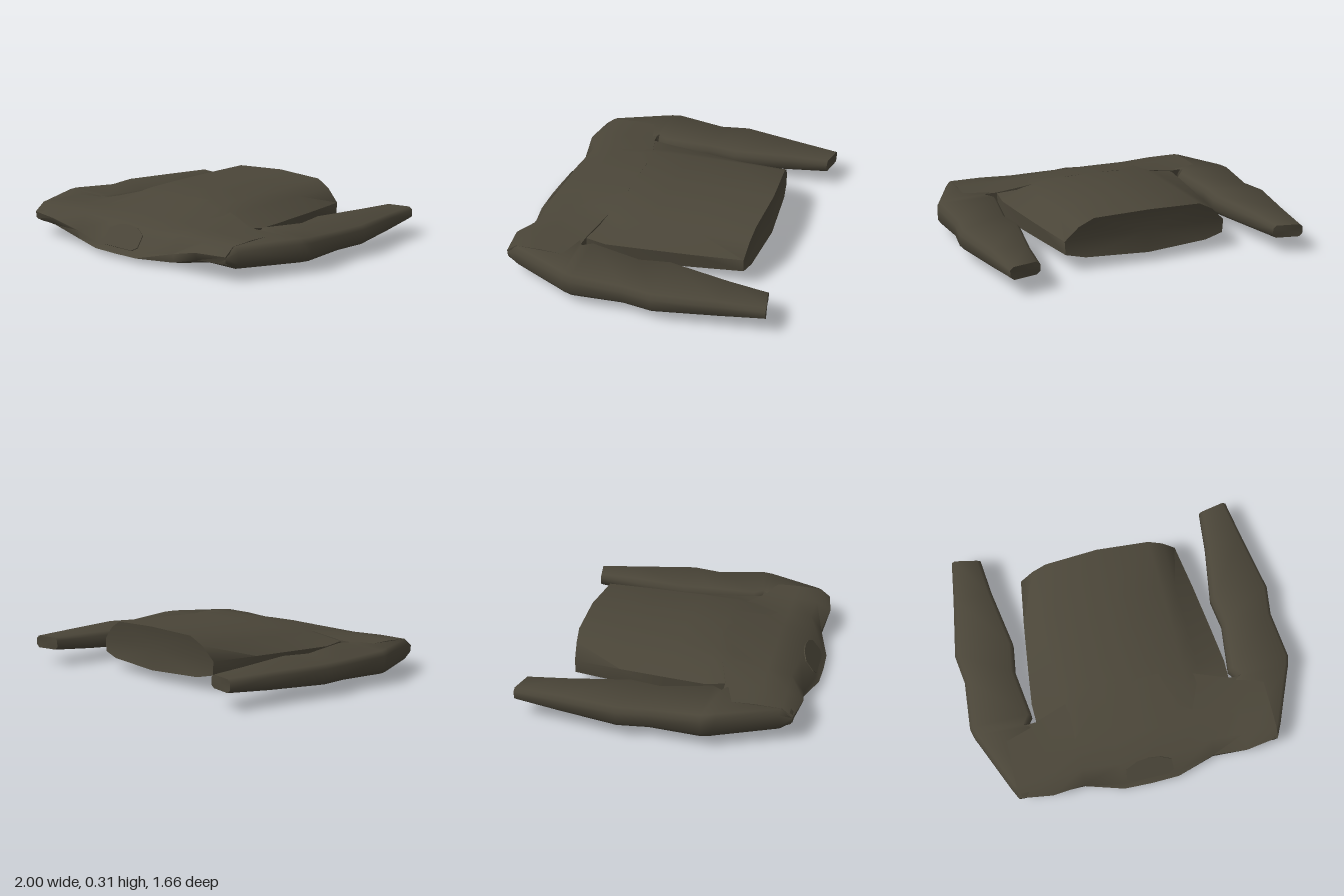
import * as THREE from 'three';
import { toCreasedNormals } from 'three/addons/utils/BufferGeometryUtils.js';

// Skin a closed solid over rings of [x, y, z] points, with capped ends
function loft(rings, crease = 0.9) {
  const n = rings[0].length, pos = [], idx = [];
  const centre = ring => [0, 1, 2].map(k => ring.reduce((s, p) => s + p[k], 0) / n);
  rings.forEach(r => r.forEach(p => pos.push(...p)));
  pos.push(...centre(rings[0]), ...centre(rings[rings.length - 1]));
  const c0 = rings.length * n, last = c0 - n;
  for (let j = 0; j < n; j++) {
    const k = (j + 1) % n;
    for (let i = 0; i < rings.length - 1; i++) {
      const a = i * n + j, b = i * n + k;
      idx.push(a, b, b + n, a, b + n, a + n);
    }
    idx.push(c0, k, j, c0 + 1, last + j, last + k);
  }
  // Turn the faces outward whatever the ring direction
  const v = i => new THREE.Vector3().fromArray(pos, i * 3);
  let volume = 0;
  for (let i = 0; i < idx.length; i += 3) volume += v(idx[i]).dot(v(idx[i + 1]).cross(v(idx[i + 2])));
  if (volume < 0) idx.reverse();
  const geo = new THREE.BufferGeometry();
  geo.setAttribute('position', new THREE.Float32BufferAttribute(pos, 3));
  geo.setIndex(idx);
  return toCreasedNormals(geo, crease);
}

export function createModel() {
  const group = new THREE.Group();
  const hullPaint = new THREE.MeshStandardMaterial({ color: 0x4a4538 });
  hullPaint.name = 'dark olive hull';
  const add = (geo, name) => {
    const mesh = new THREE.Mesh(geo, hullPaint);
    mesh.name = name;
    group.add(mesh);
    return mesh;
  };

  // Front hull: profiles [z, y] lofted across the width
  const half = [
    [0, [[.83, .035], [.80, .06], [.71, .18], [.55, .225], [.24, .285], [.24, .005], [.68, .005]]],
    [.17, [[.825, .035], [.80, .06], [.71, .18], [.55, .222], [.24, .283], [.24, .005], [.68, .005]]],
    [.4, [[.755, .04], [.76, .09], [.69, .185], [.55, .207], [.28, .245], [.28, .018], [.65, .018]]],
    [.6, [[.77, .095], [.79, .14], [.70, .192], [.55, .203], [.34, .2], [.34, .065], [.68, .065]]],
    [.8, [[.75, .10], [.76, .145], [.70, .192], [.55, .2], [.35, .198], [.35, .066], [.68, .072]]],
  ];
  const stations = [...half.slice(1).reverse().map(([x, p]) => [-x, p]), ...half];
  add(loft(stations.map(([x, p]) => p.map(([z, y]) => [x, y, z]))), 'frontHull');

  // Main body: half sections [x, y] lofted along z, bowed at the stern
  const sections = [
    [.60, 0, [[0, .2], [.33, .195], [.44, .19], [.54, .17], [.54, .08], [.38, .03], [0, .012]]],
    [.34, 0, [[0, .264], [.33, .254], [.43, .228], [.60, .195], [.60, .068], [.38, .022], [0, .008]]],
    [.22, 0, [[0, .29], [.33, .282], [.43, .243], [.605, .18], [.60, .07], [.38, .024], [0, .009]]],
    [0, 0, [[0, .30], [.335, .291], [.43, .25], [.58, .18], [.575, .08], [.38, .045], [0, .032]]],
    [-.3, 0, [[0, .31], [.335, .30], [.425, .256], [.543, .18], [.535, .09], [.38, .06], [0, .044]]],
    [-.63, .04, [[0, .32], [.33, .307], [.42, .26], [.50, .18], [.495, .10], [.38, .075], [0, .06]]],
  ];
  add(loft(sections.map(([z, bow, pts]) => {
    const place = ([x, y]) => [x, y, z + bow * (x / .5) ** 2];
    const left = pts.slice(1, -1).reverse().map(([x, y]) => [-x, y]);
    return [...pts, ...left].map(place);
  })), 'mainBody');

  // Side arms: [z, inner x, outer x, bottom y, top y], bevelled rings along z
  const armRings = [
    [.757, .62, .80, .10, .15],
    [.69, .60, .832, .07, .192],
    [.36, .62, .972, .064, .2],
    [.335, .66, .984, .064, .199],
    [.28, .62, 1, .064, .197],
    [-.02, .66, .975, .066, .178],
    [-.20, .635, 1, .07, .184],
    [-.56, .695, .94, .083, .18],
    [-.80, .72, .90, .10, .175],
  ];
  for (const side of [1, -1]) {
    const rings = armRings.map(([z, xi, xo, yb, yt], i) => {
      const b = .022, dy = (yt - yb) * .22, dz = i === armRings.length - 1 ? -.028 : 0;
      return [
        [xi, yb + dy, 0], [xi, yt - dy, 0], [xi + b, yt, 0], [xo - b, yt, 1],
        [xo, yt - dy, 1], [xo, yb + dy, 1], [xo - b, yb, 1], [xi + b, yb, 0],
      ].map(([x, y, outer]) => [side * x, y, z + outer * dz]);
    });
    add(loft(rings, 1.1), side > 0 ? 'leftArm' : 'rightArm');
  }

  // Sloping nose window, a thin plate
  const outline = [[-.11, 0], [.11, 0], [.145, .025], [.14, .105], [.075, .14], [0, .15], [-.075, .14], [-.14, .105], [-.145, .025]];
  const shape = new THREE.Shape(outline.map(([x, y]) => new THREE.Vector2(x, y)));
  const pane = add(new THREE.ExtrudeGeometry(shape, { depth: .006, bevelEnabled: false }), 'noseWindow');
  pane.position.set(0, .062, .798);
  pane.rotation.x = -Math.atan2(.09, .12);

  return group;
}
